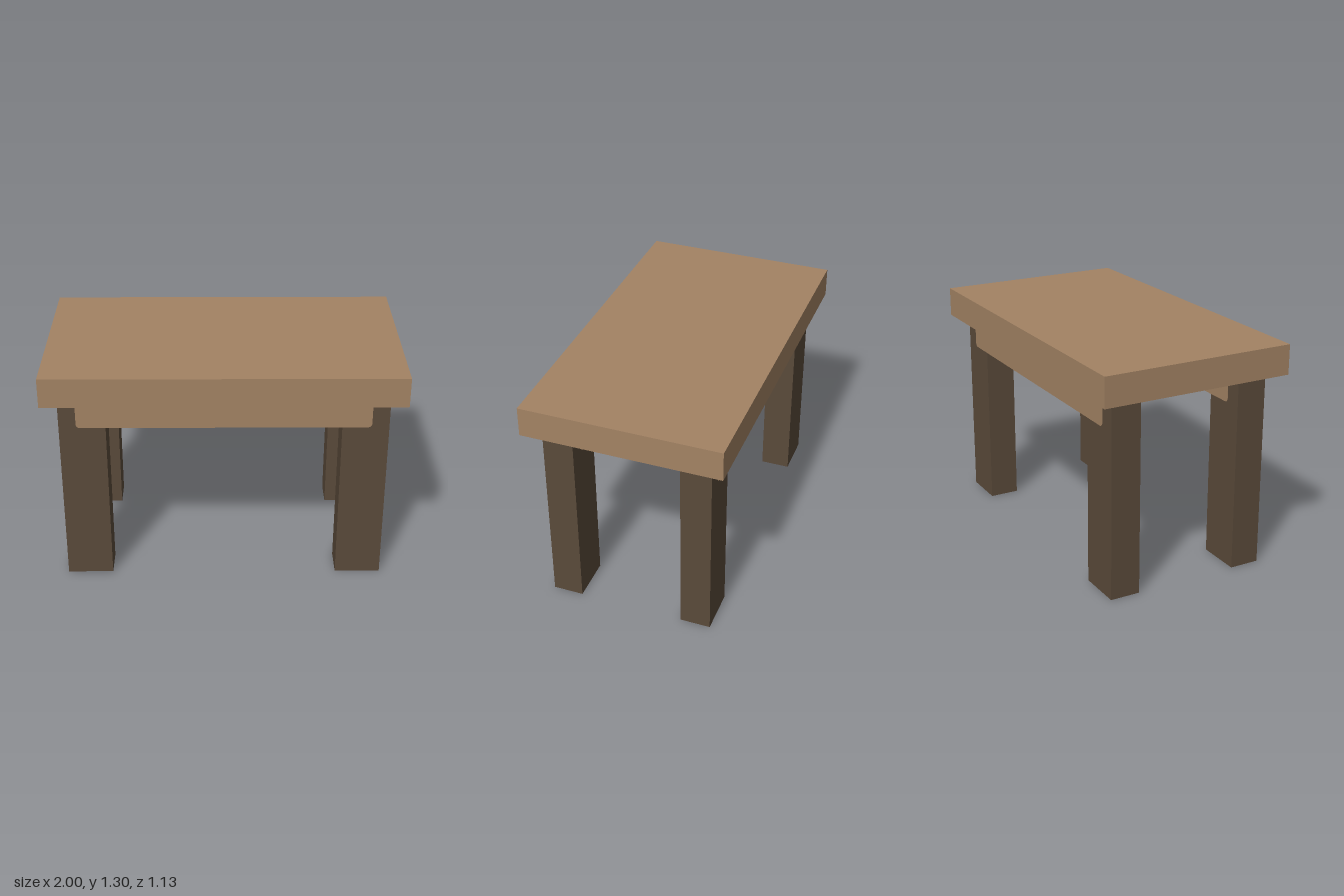
import * as THREE from 'three';

export function createModel() {
  const table = new THREE.Group();
  table.name = 'table';

  const lightWood = new THREE.MeshStandardMaterial({ color: 0xa38364 });
  lightWood.name = 'lightWood';
  const darkWood = new THREE.MeshStandardMaterial({ color: 0x5a4a3a });
  darkWood.name = 'darkWood';

  const add = (name, geometry, material, x, y, z) => {
    const mesh = new THREE.Mesh(geometry, material);
    mesh.name = name;
    mesh.position.set(x, y, z);
    table.add(mesh);
  };

  const legHeight = 1.134, legDepth = 0.174, legZ = 0.39;

  // Thick slab top
  add('tableTop', new THREE.BoxGeometry(2, 0.171, 1.13), lightWood, 0, legHeight + 0.0855, 0);

  // Four square-cut legs
  const leg = new THREE.BoxGeometry(0.26, legHeight, legDepth);
  for (const sz of [1, -1]) {
    for (const sx of [1, -1]) {
      const name = (sz > 0 ? 'front' : 'back') + (sx > 0 ? 'Left' : 'Right') + 'Leg';
      add(name, leg, darkWood, sx * 0.783, legHeight / 2, sz * legZ);
    }
  }

  // Rails through the leg tops, with rounded lower corners
  const w = 0.817, h = 0.17, r = 0.025;
  const profile = new THREE.Shape();
  profile.moveTo(-w, 0);
  profile.lineTo(-w, -h + r);
  profile.quadraticCurveTo(-w, -h, -w + r, -h);
  profile.lineTo(w - r, -h);
  profile.quadraticCurveTo(w, -h, w, -h + r);
  profile.lineTo(w, 0);
  profile.closePath();
  const depth = legDepth + 0.004; // a hair proud of the legs on both faces
  const rail = new THREE.ExtrudeGeometry(profile, { depth, bevelEnabled: false, curveSegments: 6 });
  rail.translate(0, 0, -depth / 2);
  add('frontRail', rail, lightWood, 0, legHeight, legZ);
  add('backRail', rail, lightWood, 0, legHeight, -legZ);

  return table;
}
